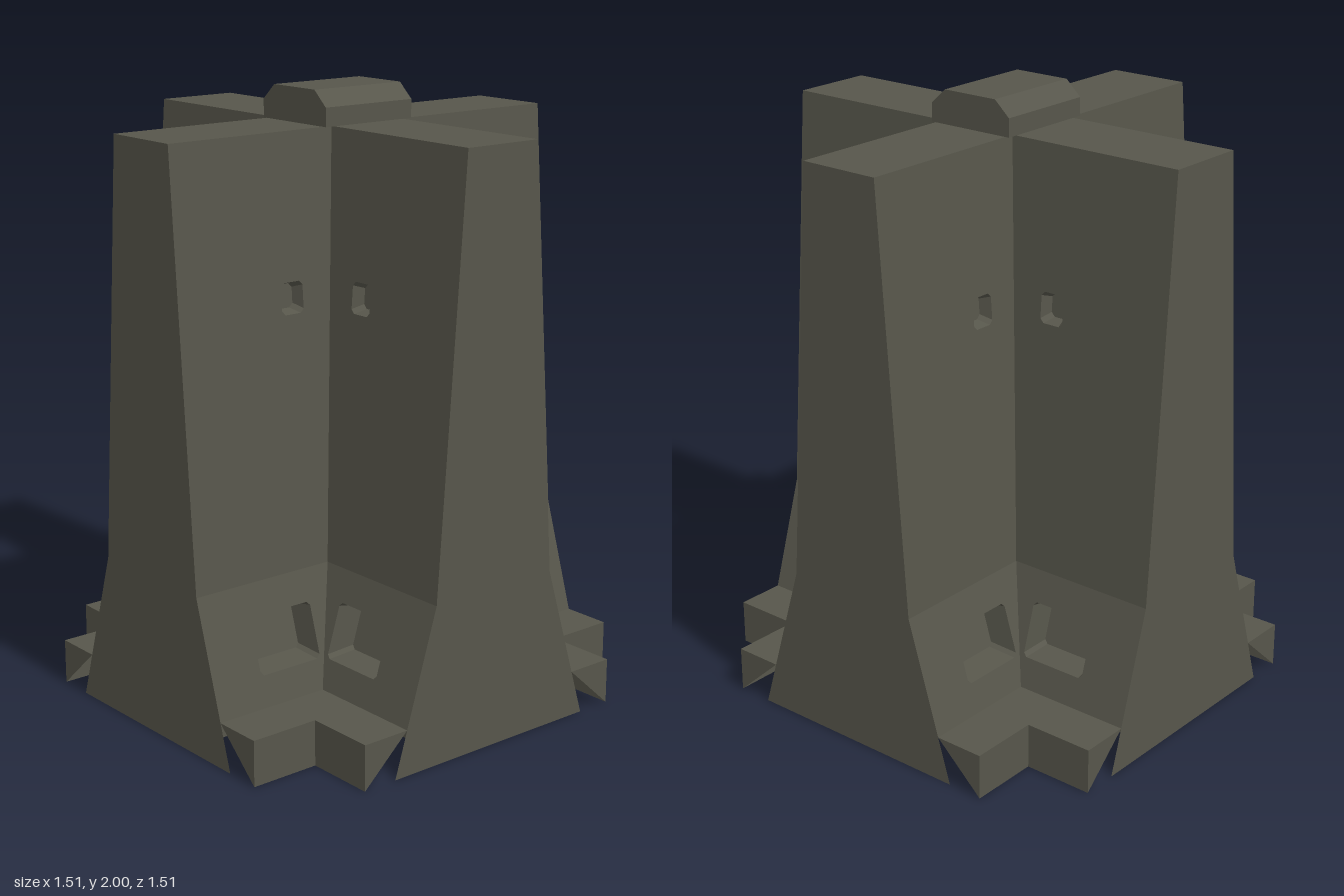
import * as THREE from 'three';

const END = 0.755, TOP = 1.89, BEND = 0.52, SLAB = 0.15, LEDGE = 0.52;

// half thickness of an arm at height y
const halfWidth = (y) => y < BEND
  ? 0.4 - (0.16 * y) / BEND
  : 0.24 - (0.1 * (y - BEND)) / (TOP - BEND);

const poly = (pts) => new THREE.Shape(pts.map(([x, y]) => new THREE.Vector2(x, y)));

// rectangle with clipped corners, counter-clockwise
function clippedRect(u0, u1, y0, y1, c) {
  return [[u0 + c, y0], [u1 - c, y0], [u1, y0 + c], [u1, y1 - c],
    [u1 - c, y1], [u0 + c, y1], [u0, y1 - c], [u0, y0 + c]];
}

// lays a flat (u, y, depth) geometry onto the sloping side of an arm
function ontoSide(geo, side) {
  const p = geo.attributes.position;
  for (let i = 0; i < p.count; i++) {
    const u = p.getX(i), y = p.getY(i), d = p.getZ(i);
    p.setXYZ(i, side * (halfWidth(y) - d), y, u);
  }
  if (side > 0) {
    const a = geo.index.array;
    for (let i = 0; i < a.length; i += 3) [a[i], a[i + 1]] = [a[i + 1], a[i]];
  }
  const flat = geo.toNonIndexed();
  flat.computeVertexNormals();
  return flat;
}

// tapering walls between a pocket's mouth and its back
function pocketWalls(mouth, back, depth) {
  const pos = [], idx = [], n = mouth.length;
  mouth.forEach(([u, y], i) => pos.push(u, y, 0, back[i][0], back[i][1], depth));
  for (let i = 0; i < n; i++) {
    const a = 2 * i, b = 2 * ((i + 1) % n);
    idx.push(a, b, a + 1, b, b + 1, a + 1);
  }
  const g = new THREE.BufferGeometry();
  g.setAttribute('position', new THREE.Float32BufferAttribute(pos, 3));
  g.setIndex(idx);
  return g;
}

export function createModel() {
  const model = new THREE.Group();
  model.name = 'crossBarrier';
  const concrete = new THREE.MeshStandardMaterial({ color: 0x57564b, side: THREE.DoubleSide });
  concrete.name = 'darkConcrete';

  const add = (parent, name, geo) => {
    const m = new THREE.Mesh(geo, concrete);
    m.name = name;
    parent.add(m);
    return m;
  };

  // side panels of an arm, each with one pocket
  const panels = [
    { name: 'lowerSide', y0: SLAB, y1: BEND, pocket: [0.34, 0.575, 0.245, 0.42, 0.012], inset: 0.012, depth: 0.09 },
    { name: 'upperSide', y0: BEND, y1: TOP, pocket: [0.285, 0.37, 1.33, 1.43, 0.013], inset: 0.012, depth: 0.04 },
  ];

  for (let k = 0; k < 4; k++) {
    const arm = new THREE.Group();
    arm.name = ['frontArm', 'leftArm', 'backArm', 'rightArm'][k];
    arm.rotation.y = (k * Math.PI) / 2;
    model.add(arm);

    for (const { name, y0, y1, pocket, inset, depth } of panels) {
      const [u0, u1, p0, p1, c] = pocket;
      const mouth = clippedRect(u0, u1, p0, p1, c);
      const back = clippedRect(u0 + inset, u1 - inset, p0 + inset, p1 - inset, c);
      for (const side of [-1, 1]) {
        const sheet = poly([[0.1, y0], [END, y0], [END, y1], [0.1, y1]]);
        sheet.holes.push(poly(mouth));
        add(arm, name, ontoSide(new THREE.ShapeGeometry(sheet), side));
        add(arm, 'pocketWalls', ontoSide(pocketWalls(mouth, back, depth), side));
        const cap = new THREE.ShapeGeometry(poly(back));
        cap.translate(0, 0, depth);
        add(arm, 'pocketBack', ontoSide(cap, side));
      }
    }

    // flared end face and flat top
    const right = [0, BEND, TOP].map((y) => [halfWidth(y), y]);
    const left = right.map(([x, y]) => [-x, y]).reverse();
    const endFace = new THREE.ShapeGeometry(poly([...right, ...left]));
    add(arm, 'armEnd', endFace).position.z = END;
    const top = new THREE.PlaneGeometry(2 * halfWidth(TOP), END);
    top.rotateX(-Math.PI / 2);
    add(arm, 'armTop', top).position.set(0, TOP, END / 2);

    // pointed footing corners beside the arm end
    const w = halfWidth(SLAB);
    for (const s of [-1, 1]) {
      const tip = new THREE.ShapeGeometry(poly([[s * w, SLAB], [s * LEDGE, 0], [s * LEDGE, SLAB]]));
      add(arm, 'footingTip', tip).position.z = END;
    }

    // thin walls under the footing; the outermost also close its sides
    for (const x of [0.175, LEDGE]) {
      const wall = new THREE.PlaneGeometry(2 * END, SLAB);
      wall.rotateY(Math.PI / 2);
      add(arm, 'footingWall', wall).position.set(x, SLAB / 2, 0);
    }
  }

  // cross-shaped footing sheet
  const E = END, L = LEDGE;
  const cross = new THREE.ShapeGeometry(poly([[L, -E], [L, -L], [E, -L], [E, L], [L, L], [L, E],
    [-L, E], [-L, L], [-E, L], [-E, -L], [-L, -L], [-L, -E]]));
  cross.rotateX(-Math.PI / 2);
  add(model, 'footingTop', cross).position.y = SLAB;

  // chamfered block on top of the crossing
  const block = new THREE.ExtrudeGeometry(
    poly([[-0.155, TOP], [0.155, TOP], [0.155, 1.95], [0.1, 2], [-0.1, 2], [-0.155, 1.95]]),
    { depth: 0.35, bevelEnabled: false });
  block.translate(0, 0, -0.175);
  add(model, 'topBlock', block);

  return model;
}
